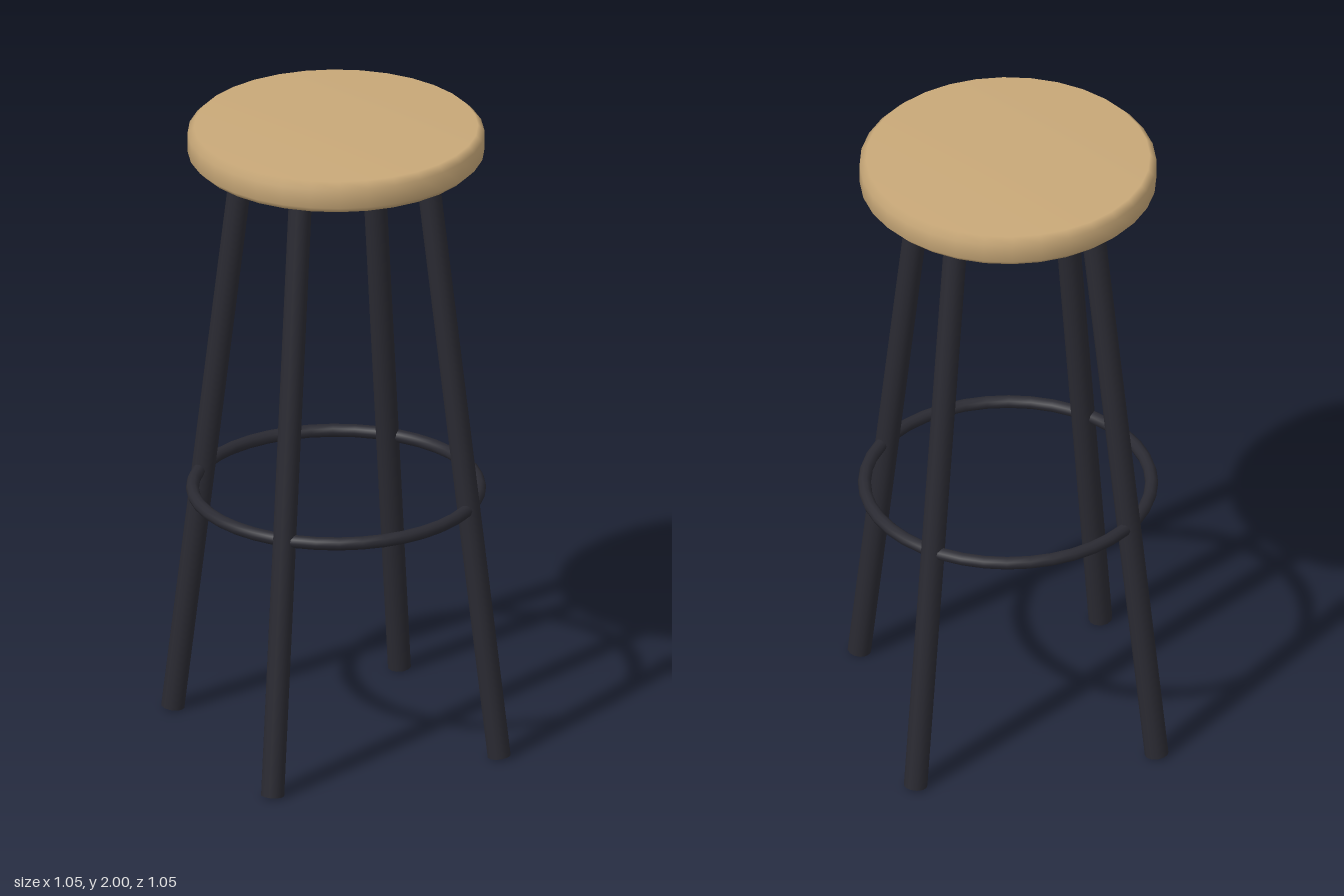
import * as THREE from 'three';

export function createModel() {
  const group = new THREE.Group();
  const wood = new THREE.MeshStandardMaterial({ color: 0xc8a878 });
  wood.name = 'wood';
  const metal = new THREE.MeshStandardMaterial({ color: 0x2a2a32 });
  metal.name = 'darkMetal';

  function add(name, geometry, material) {
    const mesh = new THREE.Mesh(geometry, material);
    mesh.name = name;
    group.add(mesh);
    return mesh;
  }

  // Round seat with softened rim
  const profile = [[0, 1.9], [0.43, 1.9], [0.45, 1.92], [0.45, 1.98], [0.43, 2], [0, 2]]
    .map(([r, y]) => new THREE.Vector2(r, y));
  add('seat', new THREE.LatheGeometry(profile, 32), wood);

  // Four splayed legs, a quarter turn apart
  const up = new THREE.Vector3(0, 1, 0);
  for (let i = 0; i < 4; i++) {
    const angle = Math.PI / 8 + i * Math.PI / 2;
    const at = (r, y) => new THREE.Vector3(r * Math.cos(angle), y, -r * Math.sin(angle));
    const foot = at(0.53, 0.005);
    const top = at(0.294, 1.91);
    const axis = top.clone().sub(foot);
    const leg = add('leg' + (i + 1), new THREE.CylinderGeometry(0.036, 0.036, axis.length(), 12), metal);
    leg.position.copy(foot).add(top).multiplyScalar(0.5);
    leg.quaternion.setFromUnitVectors(up, axis.normalize());
  }

  // Footrest ring
  const ring = add('footrestRing', new THREE.TorusGeometry(0.435, 0.02, 10, 40), metal);
  ring.rotation.x = Math.PI / 2;
  ring.position.y = 0.808;

  return group;
}
